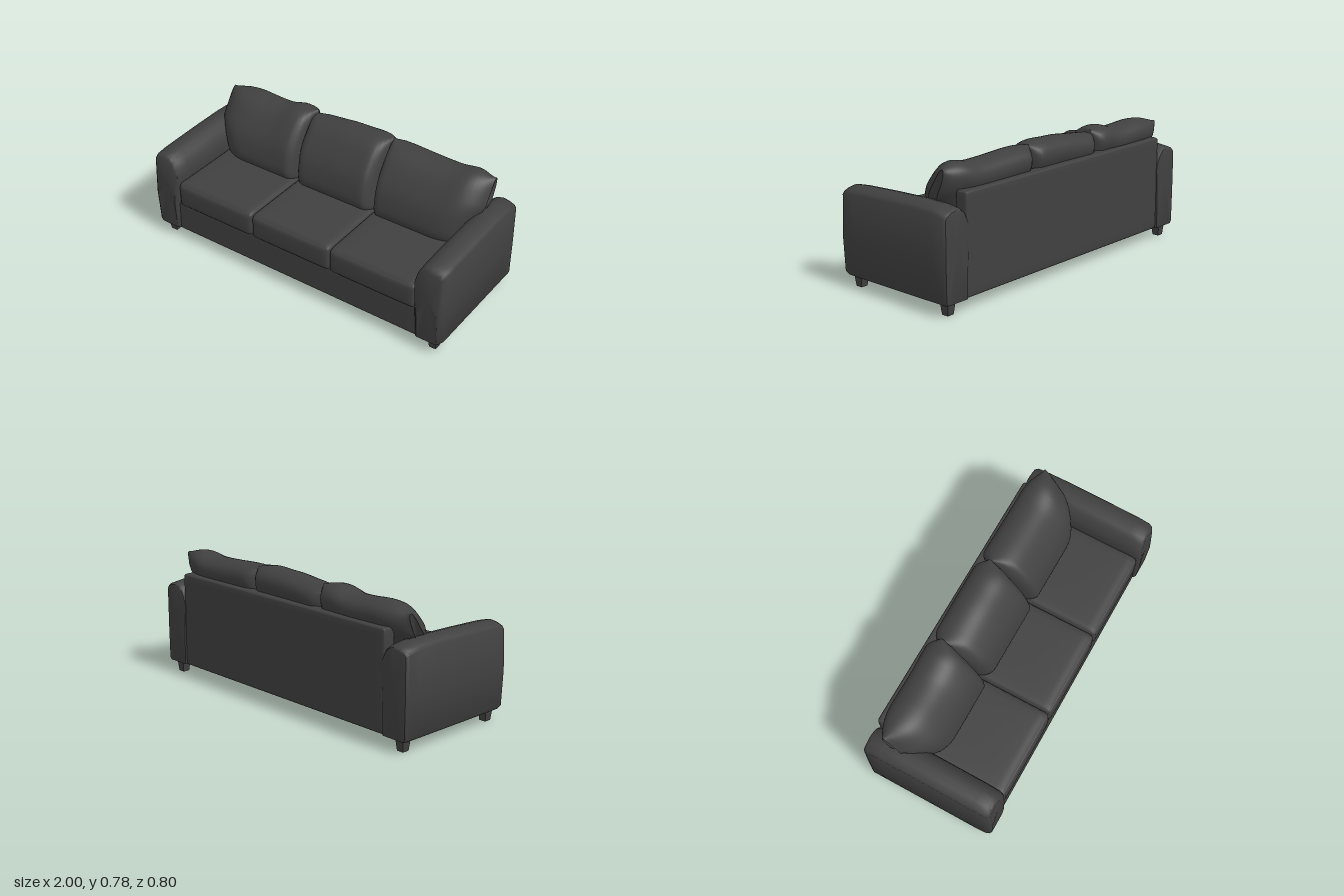
import * as THREE from 'three';
import { mergeVertices, toCreasedNormals } from 'three/addons/utils/BufferGeometryUtils.js';

const fabric = new THREE.MeshStandardMaterial({ color: 0x404040 });
const V2 = (p) => new THREE.Vector2(p[0], p[1]);
const V3 = (x, y, z) => new THREE.Vector3(x, y, z);
const clamp = THREE.MathUtils.clamp, lerp = THREE.MathUtils.lerp;

// Skins a list of closed rings (counter-clockwise seen from the last ring) and caps both ends
function loft(rings, crease) {
  const n = rings[0].length, pts = rings.flat(), index = [];
  for (let i = 0; i < rings.length - 1; i++) {
    for (let j = 0; j < n; j++) {
      const a = i * n + j, b = i * n + (j + 1) % n;
      index.push(a, b, b + n, a, b + n, a + n);
    }
  }
  const last = (rings.length - 1) * n;
  for (const base of [0, last]) {
    const centre = V3(0, 0, 0);
    for (let j = 0; j < n; j++) centre.addScaledVector(pts[base + j], 1 / n);
    const c = pts.push(centre) - 1;
    for (let j = 0; j < n; j++) {
      const a = base + j, b = base + (j + 1) % n;
      if (base === 0) index.push(c, b, a); else index.push(c, a, b);
    }
  }
  const geo = new THREE.BufferGeometry().setFromPoints(pts);
  geo.setIndex(index);
  return toCreasedNormals(geo, crease);
}

// Box with rounded edges and an optional swell on its top and front
function softBox(min, max, radius, crown = 0, bulge = 0) {
  const size = V3(...max).sub(V3(...min)), mid = V3(...min).add(V3(...max)).multiplyScalar(0.5);
  let geo = new THREE.BoxGeometry(2, 2, 2, 16, 12, 16);
  geo.deleteAttribute('normal');
  geo.deleteAttribute('uv');
  geo = mergeVertices(geo);
  const pos = geo.attributes.position, p = V3(0, 0, 0), core = V3(0, 0, 0);
  const half = size.clone().multiplyScalar(0.5), inner = half.clone().subScalar(radius);
  for (let i = 0; i < pos.count; i++) {
    p.fromBufferAttribute(pos, i);
    const swell = V3(1 - p.x ** 4, 1 - p.y ** 2, 1 - p.z ** 4);
    for (const k of ['x', 'y', 'z']) p[k] = Math.sin(p[k] * Math.PI / 2) * half[k];
    core.copy(p).clamp(inner.clone().negate(), inner);
    const out = p.clone().sub(core);
    if (out.length() > 0) p.copy(core).addScaledVector(out.normalize(), radius);
    if (p.y > 0) p.y += crown * swell.x * swell.z * p.y / half.y;
    if (p.z > 0) p.z += bulge * swell.x * swell.y * p.z / half.z;
    pos.setXYZ(i, p.x + mid.x, p.y + mid.y, p.z + mid.z);
  }
  geo.computeVertexNormals();
  return geo;
}

// Arm: cross-section in x/y swept from back to front, shrinking at the rounded ends
function armGeometry(side) {
  const profile = [[0.83, 0.07], [0.985, 0.07], [0.998, 0.085], [1, 0.3], [0.998, 0.545], [0.985, 0.563],
    [0.95, 0.577], [0.91, 0.583], [0.875, 0.575], [0.845, 0.548], [0.822, 0.505], [0.81, 0.46], [0.815, 0.4], [0.825, 0.25]];
  // z, inset, change in height
  const stations = [[-0.4, 0.022, -0.03], [-0.397, 0.008, -0.02], [-0.38, 0, -0.01], [-0.3, 0, 0.001], [-0.17, 0, 0.005],
    [0.05, 0, 0], [0.29, 0, -0.009], [0.36, 0.002, -0.016], [0.382, 0.01, -0.025], [0.392, 0.024, -0.045]];
  const rings = stations.map(([z, inset, lift]) => {
    const ring = profile.map(([x, y]) => {
      const up = clamp((y - 0.07) / 0.5, 0, 1);
      const puff = (z > 0.38 ? 0.012 : 0) * Math.sin(Math.PI * up);
      const px = x + (0.91 - x) / 0.09 * inset;
      return V3(px * side, y + lift * up + (1 - up) * inset * 0.3, z + puff);
    });
    return side > 0 ? ring : ring.reverse();
  });
  return loft(rings, 0.75);
}

// Back cushion: leaning pillow section swept along x, thinning toward its side seams
function pillowGeometry({ bottom, top, heights, round }) {
  const section = [[-0.23, 0.4], [-0.28, 0.5], [-0.33, 0.6], [-0.362, 0.68], [-0.345, 0.74], [-0.28, 0.772],
    [-0.2, 0.762], [-0.13, 0.712], [-0.05, 0.605], [-0.015, 0.5], [-0.012, 0.43], [-0.05, 0.4]];
  const loop = new THREE.SplineCurve([...section, section[0]].map(V2)).getPoints(48).slice(0, -1);
  const crest = new THREE.SplineCurve(heights.map((h, i) => V2([i / (heights.length - 1), h])));
  const rings = [], steps = 28, width = top[1] - top[0];
  const thin = (d, r) => Math.sqrt(1 - (1 - clamp(d / r, 0, 1)) ** 2);
  for (let i = 0; i <= steps; i++) {
    const u = (1 - Math.cos(Math.PI * i / steps)) / 2;
    const k = Math.max(0.22, thin(u * width, round[0]) * thin((1 - u) * width, round[1]));
    const stretch = (crest.getPoint(u).y - 0.41) / 0.362;
    rings.push(loop.map(({ x: z, y }) => {
      const t = clamp((y - 0.41) / 0.22, 0, 1), mid = -0.12 - 0.5 * (y - 0.41);
      const x = lerp(lerp(bottom[0], top[0], t), lerp(bottom[1], top[1], t), u);
      return V3(x, 0.41 + (y - 0.41) * stretch, mid + (z - mid) * k);
    }));
  }
  return loft(rings, 1.2);
}

export function createModel() {
  const sofa = new THREE.Group();
  sofa.name = 'sofa';
  const add = (name, geo) => {
    const mesh = new THREE.Mesh(geo, fabric);
    mesh.name = name;
    sofa.add(mesh);
    return mesh;
  };

  // Frame
  add('base', softBox([-0.84, 0.07, -0.385], [0.84, 0.26, 0.378], 0.008));
  add('backPanel', softBox([-0.835, 0.072, -0.394], [0.835, 0.643, -0.31], 0.018));
  add('leftArm', armGeometry(1));
  add('rightArm', armGeometry(-1));

  // Seat cushions
  const seams = [-0.825, -0.278, 0.264, 0.822];
  for (let i = 0; i < 3; i++) {
    add(`seatCushion${i + 1}`, softBox([seams[i], 0.247, -0.3], [seams[i + 1], 0.402, 0.382], 0.024, 0.012, 0.01));
  }

  // Back cushions, outer ones flaring over the arms
  const pillows = [
    { bottom: [-0.82, -0.28], top: [-0.922, -0.288], heights: [0.72, 0.748, 0.755, 0.748, 0.748, 0.775, 0.765], round: [0.2, 0.06] },
    { bottom: [-0.28, 0.264], top: [-0.306, 0.25], heights: [0.745, 0.755, 0.765, 0.775, 0.778, 0.782, 0.77], round: [0.08, 0.06] },
    { bottom: [0.264, 0.82], top: [0.246, 0.905], heights: [0.768, 0.768, 0.762, 0.757, 0.757, 0.775, 0.752], round: [0.06, 0.2] },
  ];
  pillows.forEach((p, i) => add(`backCushion${i + 1}`, pillowGeometry(p)));

  // Tapered square feet
  const foot = new THREE.CylinderGeometry(0.029 * Math.SQRT2, 0.021 * Math.SQRT2, 0.075, 4).rotateY(Math.PI / 4);
  const footGeo = toCreasedNormals(foot, 0.5);
  for (const x of [-0.928, 0.928]) {
    for (const z of [-0.34, 0.323]) {
      add(`${z > 0 ? 'front' : 'back'}${x > 0 ? 'Left' : 'Right'}Foot`, footGeo).position.set(x, 0.0375, z);
    }
  }
  return sofa;
}
